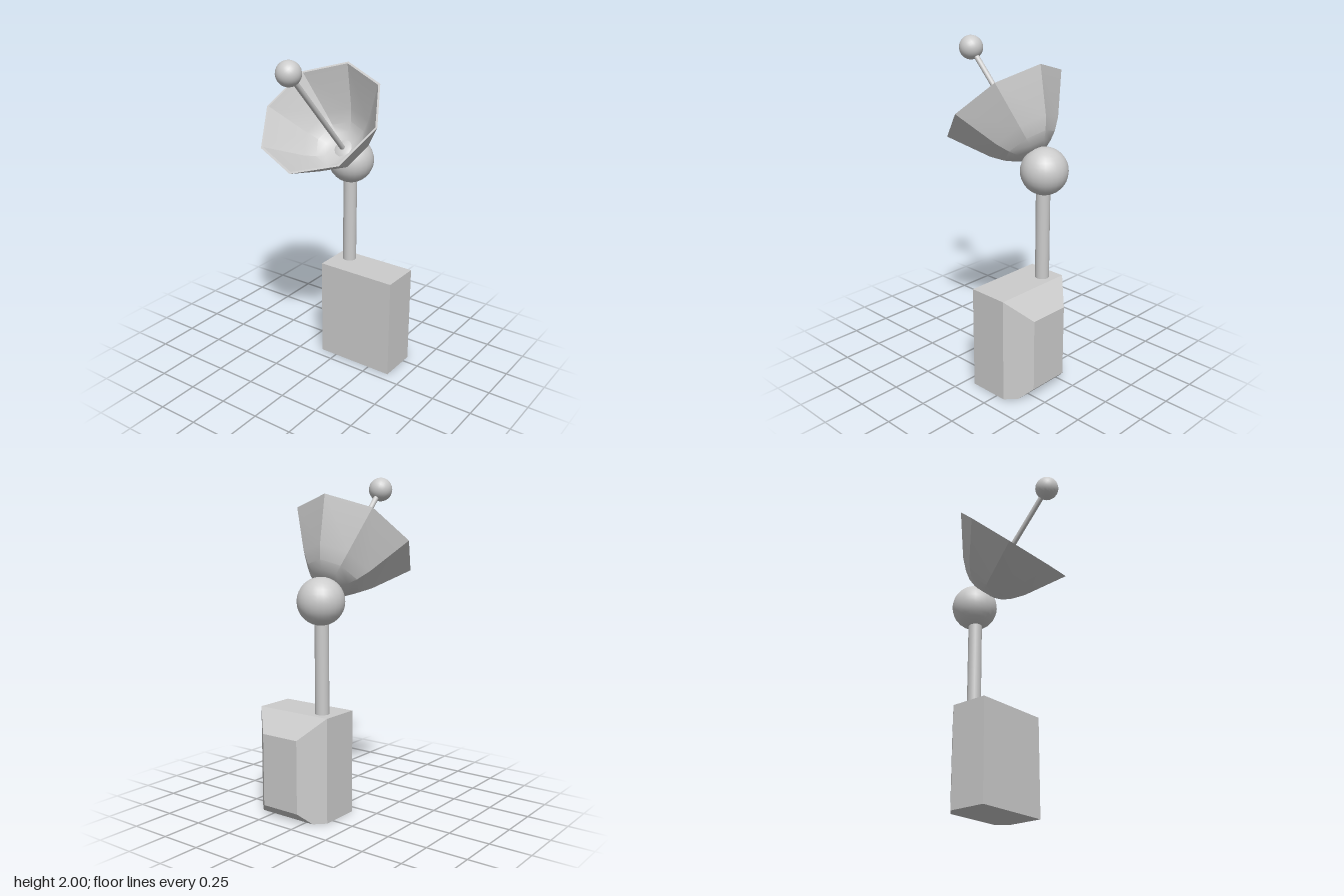
import * as THREE from 'three';
import { toCreasedNormals } from 'three/addons/utils/BufferGeometryUtils.js';
import { ConvexGeometry } from 'three/addons/geometries/ConvexGeometry.js';

const CX = -0.015; // x of the mast and dish

export function createModel() {
  const model = new THREE.Group();
  model.name = 'dishAntenna';
  const material = new THREE.MeshStandardMaterial({ color: 0xcccccc });
  const add = (parent, name, geometry, x = 0, y = 0, z = 0) => {
    const mesh = new THREE.Mesh(geometry, material);
    mesh.name = name;
    mesh.position.set(x, y, z);
    parent.add(mesh);
    return mesh;
  };

  // Base block: bevelled on the back, with a smaller bevel at the bottom
  const corners = [];
  const pair = (halfWidth, y, z) => {
    for (const s of [-1, 1]) corners.push(new THREE.Vector3(0.1425 + s * halfWidth, y, z));
  };
  for (const y of [0, 0.63]) {
    pair(0.2525, y, -0.06);
    pair(0.2525, y, -0.305);
  }
  pair(0.1925, 0, -0.365);
  pair(0.1275, 0.065, -0.43);
  pair(0.1275, 0.505, -0.43);
  add(model, 'baseBlock', new ConvexGeometry(corners));

  // Mast and the ball joint on top of it
  add(model, 'mast', new THREE.CylinderGeometry(0.042, 0.042, 0.62, 24), CX, 0.92, -0.228);
  add(model, 'ballJoint', new THREE.SphereGeometry(0.14, 24, 16), CX, 1.292, -0.235);

  // Tilted head: local y is the dish axis, origin at the rim centre
  const head = new THREE.Group();
  head.name = 'dishHead';
  head.position.set(CX, 1.635, 0.085);
  head.rotation.x = 0.75;
  model.add(head);

  // Eight-sided bowl with thin walls: outer profile up, inner profile down
  const profile = [
    [0.02, -0.354], [0.07, -0.35], [0.12, -0.333], [0.168, -0.298], [0.227, -0.235], [0.385, 0],
    [0.372, 0], [0.217, -0.229], [0.16, -0.29], [0.114, -0.323], [0.066, -0.341], [0.02, -0.344],
  ].map(([r, y]) => new THREE.Vector2(r, y));
  add(head, 'dish', toCreasedNormals(new THREE.LatheGeometry(profile, 8), 0.52));

  // Feed rod with a ball at its tip
  add(head, 'feedRod', new THREE.CylinderGeometry(0.016, 0.016, 0.75, 16), 0, 0.03, 0);
  add(head, 'feedTip', new THREE.SphereGeometry(0.072, 24, 16), 0, 0.402, 0);

  return model;
}
